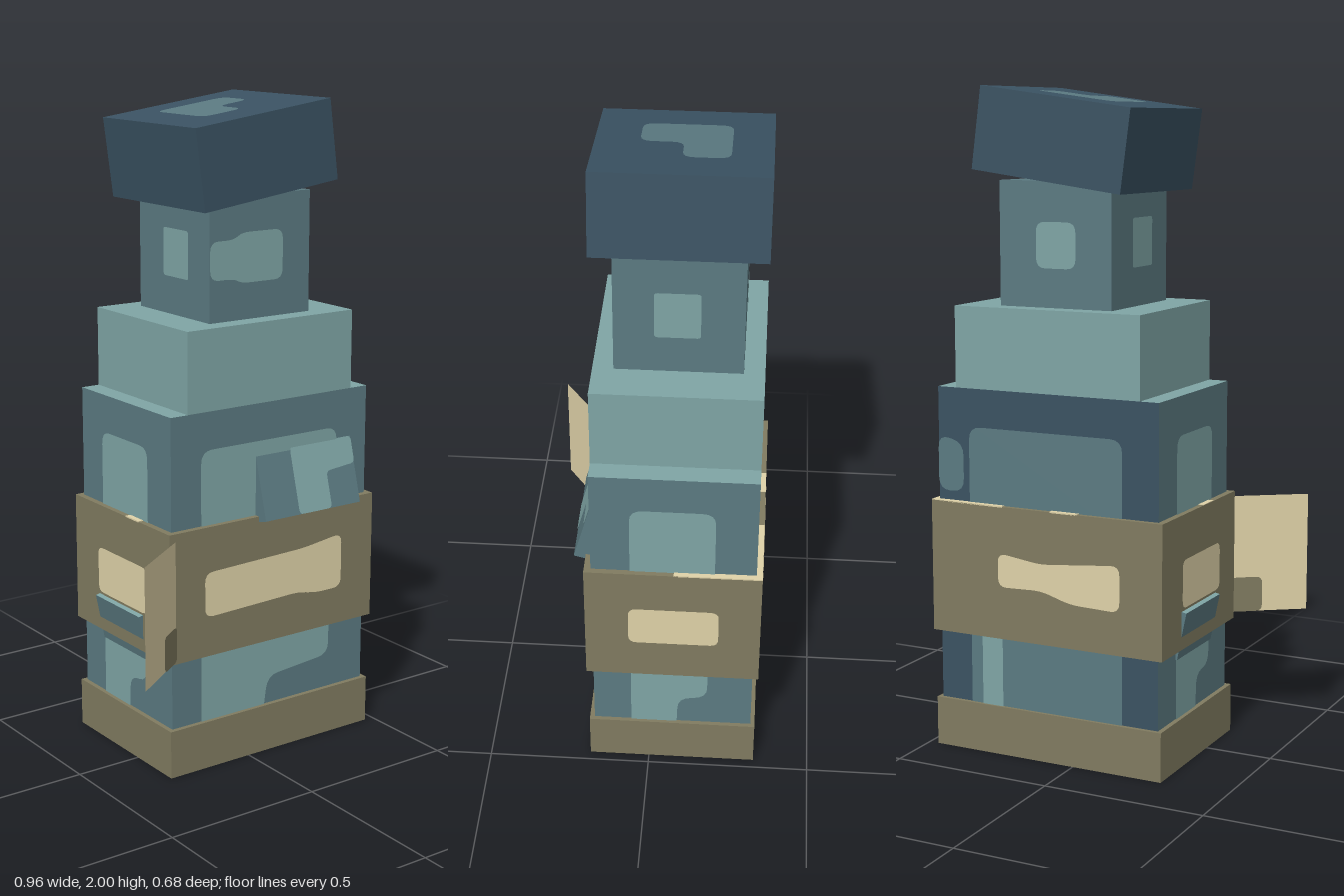
import * as THREE from 'three';

const mat = (name, color) => {
  const m = new THREE.MeshStandardMaterial({ color });
  m.name = name;
  return m;
};

export function createModel() {
  const root = new THREE.Group();
  root.name = 'bottle';
  const navy = mat('navy', 0x3a5262), teal = mat('teal', 0x5b7a81), aqua = mat('aqua', 0x7fa5a5);
  const olive = mat('olive', 0x807b60), sand = mat('sand', 0xdfd2a8);
  const black = mat('black', 0x1c1a1f), darkOlive = mat('darkOlive', 0x33321f);
  olive.side = sand.side = THREE.DoubleSide;

  const add = (name, geo, material, parent = root) => {
    const m = new THREE.Mesh(geo, material);
    m.name = name;
    parent.add(m);
    return m;
  };

  // Box given by its limits on each axis
  const box = (name, x0, x1, y0, y1, z0, z1, material) => {
    const m = add(name, new THREE.BoxGeometry(x1 - x0, y1 - y0, z1 - z0), material);
    m.position.set((x0 + x1) / 2, (y0 + y1) / 2, (z0 + z1) / 2);
    return m;
  };

  // Flat outline with softened corners
  const outline = (pts, r) => {
    const s = new THREE.Shape();
    const v = pts.map(p => new THREE.Vector2(p[0], p[1]));
    v.forEach((p, i) => {
      const prev = v[(i + v.length - 1) % v.length], next = v[(i + 1) % v.length];
      const toward = q => p.clone().lerp(q, Math.min(0.45, r / p.distanceTo(q)));
      const a = toward(prev), b = toward(next);
      if (i) s.lineTo(a.x, a.y); else s.moveTo(a.x, a.y);
      s.quadraticCurveTo(p.x, p.y, b.x, b.y);
    });
    s.closePath();
    return new THREE.ShapeGeometry(s, 4);
  };

  // Painted patch on a wall; points are world (x or z, y)
  const walls = { front: [0, 1], right: [Math.PI / 2, -1], back: [Math.PI, -1], left: [-Math.PI / 2, 1] };
  const patch = (name, side, at, pts, material, r = 0.04) => {
    const [angle, sign] = walls[side];
    const m = add(name, outline(pts.map(p => [p[0] * sign, p[1]]), r), material);
    m.rotation.y = angle;
    const off = at + ((side === 'front' || side === 'right') ? 0.003 : -0.003);
    if (side === 'front' || side === 'back') m.position.z = off; else m.position.x = off;
  };
  const rect = (a0, a1, y0, y1) => [[a0, y0], [a1, y0], [a1, y1], [a0, y1]];

  // Stacked bottle
  box('base', -0.29, 0.47, 0, 0.15, -0.33, 0.185, [olive, olive, olive, darkOlive, olive, olive]);
  box('body', -0.275, 0.457, 0.1, 1.115, -0.317, 0.17, [teal, teal, aqua, teal, teal, navy]);
  box('belt', -0.295, 0.475, 0.365, 0.77, -0.335, 0.19, olive);
  box('shoulder', -0.215, 0.395, 1.115, 1.36, -0.317, 0.17, aqua);
  box('neck', -0.095, 0.272, 1.36, 1.728, -0.257, 0.11, teal);

  // Crooked cap with a patch on top
  const cap = new THREE.Group();
  cap.name = 'cap';
  cap.position.set(0.0725, 1.847, -0.0735);
  cap.rotation.z = 0.135;
  root.add(cap);
  add('capBlock', new THREE.BoxGeometry(0.486, 0.242, 0.487), [navy, navy, navy, black, navy, navy], cap);
  const capPatch = add('capPatch', outline([[-0.126, -0.12], [0.012, -0.12], [0.012, 0], [0.122, 0], [0.122, 0.13], [-0.126, 0.13]], 0.035), teal, cap);
  capPatch.rotation.x = -Math.PI / 2;
  capPatch.position.y = 0.124;

  // Body highlights, above and below the belt
  patch('frontUpperPatch', 'front', 0.17, rect(-0.17, 0.34, 0.7, 1.0), aqua);
  patch('frontLowerPatch', 'front', 0.17, [[-0.17, 0.1], [0.06, 0.1], [0.08, 0.24], [0.32, 0.26], [0.32, 0.45], [-0.17, 0.45]], aqua);
  for (const [side, x] of [['right', 0.457], ['left', -0.275]]) {
    const flip = side === 'right' ? z => z : z => -0.145 - z;
    const map = pts => pts.map(([z, y]) => [flip(z), y]);
    patch(side + 'UpperPatch', side, x, map(rect(-0.195, 0.055, 0.7, 1.0)), aqua);
    patch(side + 'LowerPatch', side, x, map([[0.055, 0.1], [-0.085, 0.1], [-0.09, 0.25], [-0.18, 0.26], [-0.18, 0.45], [0.055, 0.45]]), aqua);
  }
  patch('backUpperPatch', 'back', -0.317, rect(-0.16, 0.35, 0.7, 1.0), teal);
  patch('backEdgePatch', 'back', -0.317, [[0.457, 0.8], [0.37, 0.8], [0.37, 0.95], [0.457, 0.97]], teal);
  patch('backLowerPatch', 'back', -0.317, rect(-0.16, 0.35, 0.1, 0.45), teal);
  patch('backStripe', 'back', -0.32, rect(0.24, 0.31, 0.1, 0.45), aqua, 0.02);

  // Belt highlights
  patch('frontBeltPatch', 'front', 0.19, [[-0.17, 0.49], [0.18, 0.5], [0.25, 0.485], [0.35, 0.485], [0.35, 0.66], [0.2, 0.64], [-0.17, 0.63]], sand, 0.03);
  patch('rightBeltPatch', 'right', 0.475, rect(-0.21, 0.06, 0.5, 0.635), sand, 0.025);
  patch('leftBeltPatch', 'left', -0.295, rect(-0.2, 0.07, 0.49, 0.635), sand, 0.025);
  patch('backBeltPatch', 'back', -0.335, [[-0.16, 0.495], [0, 0.5], [0.1, 0.53], [0.245, 0.525], [0.245, 0.63], [0.1, 0.61], [-0.16, 0.635]], sand, 0.03);

  // Light stretches of the belt's top ledge
  for (const [x0, x1, z0, z1] of [[-0.02, 0.07, -0.335, -0.317], [0.23, 0.475, -0.335, -0.317],
    [0.457, 0.475, -0.317, -0.075], [-0.295, -0.275, -0.045, 0.025]])
    box('beltLedge', x0, x1, 0.768, 0.772, z0, z1, sand);

  // Neck highlights
  patch('frontNeckPatch', 'front', 0.11, [[-0.095, 1.485], [-0.01, 1.485], [0.02, 1.47], [0.17, 1.47], [0.17, 1.62], [0.02, 1.62], [-0.01, 1.6], [-0.095, 1.6]], aqua, 0.03);
  patch('rightNeckPatch', 'right', 0.272, rect(-0.135, -0.005, 1.475, 1.62), aqua, 0.01);
  patch('leftNeckPatch', 'left', -0.095, rect(-0.125, 0.005, 1.475, 1.62), aqua, 0.01);
  patch('backNeckPatch', 'back', -0.257, rect(0.02, 0.15, 1.475, 1.61), aqua, 0.03);

  // Tilted label block on the front, its bottom edge standing out
  const flap = new THREE.Group();
  flap.name = 'frontFlap';
  flap.position.set(0.2125, 0.863, 0.198);
  flap.rotation.x = -0.27;
  root.add(flap);
  const block = add('flapBlock', new THREE.BoxGeometry(0.365, 0.208, 0.06), teal, flap);
  block.position.z = -0.03;
  const flapPatch = add('flapPatch', outline([[-0.055, -0.104], [0.07, -0.104], [0.07, 0.01], [0.1825, 0.02], [0.1825, 0.104], [-0.055, 0.104]], 0.015), aqua, flap);
  flapPatch.position.z = 0.002;

  // Small block leaning out of the belt's side at its top and below the belt at its foot
  const stub = new THREE.Group();
  stub.name = 'sideStub';
  stub.position.set(-0.31, 0.478, -0.0775);
  stub.rotation.z = 0.2;
  root.add(stub);
  const stubBlock = add('stubBlock', new THREE.BoxGeometry(0.04, 0.148, 0.245), [teal, teal, aqua, teal, teal, teal], stub);
  stubBlock.position.set(0.02, -0.074, 0);

  // Thin tag standing off the front corner, with a dark lower corner
  const tag = new THREE.Group();
  tag.name = 'tag';
  tag.position.set(-0.38, 0.565, 0.27);
  tag.rotation.y = Math.atan2(0.14, 0.2);
  root.add(tag);
  add('tagSheet', new THREE.PlaneGeometry(0.244, 0.37), sand, tag);
  const corner = outline([[0.122, -0.185], [0.022, -0.185], [0.022, -0.075], [0.122, -0.075]], 0.02);
  for (const z of [0.003, -0.003]) add('tagCorner', corner, olive, tag).position.z = z;

  return root;
}
